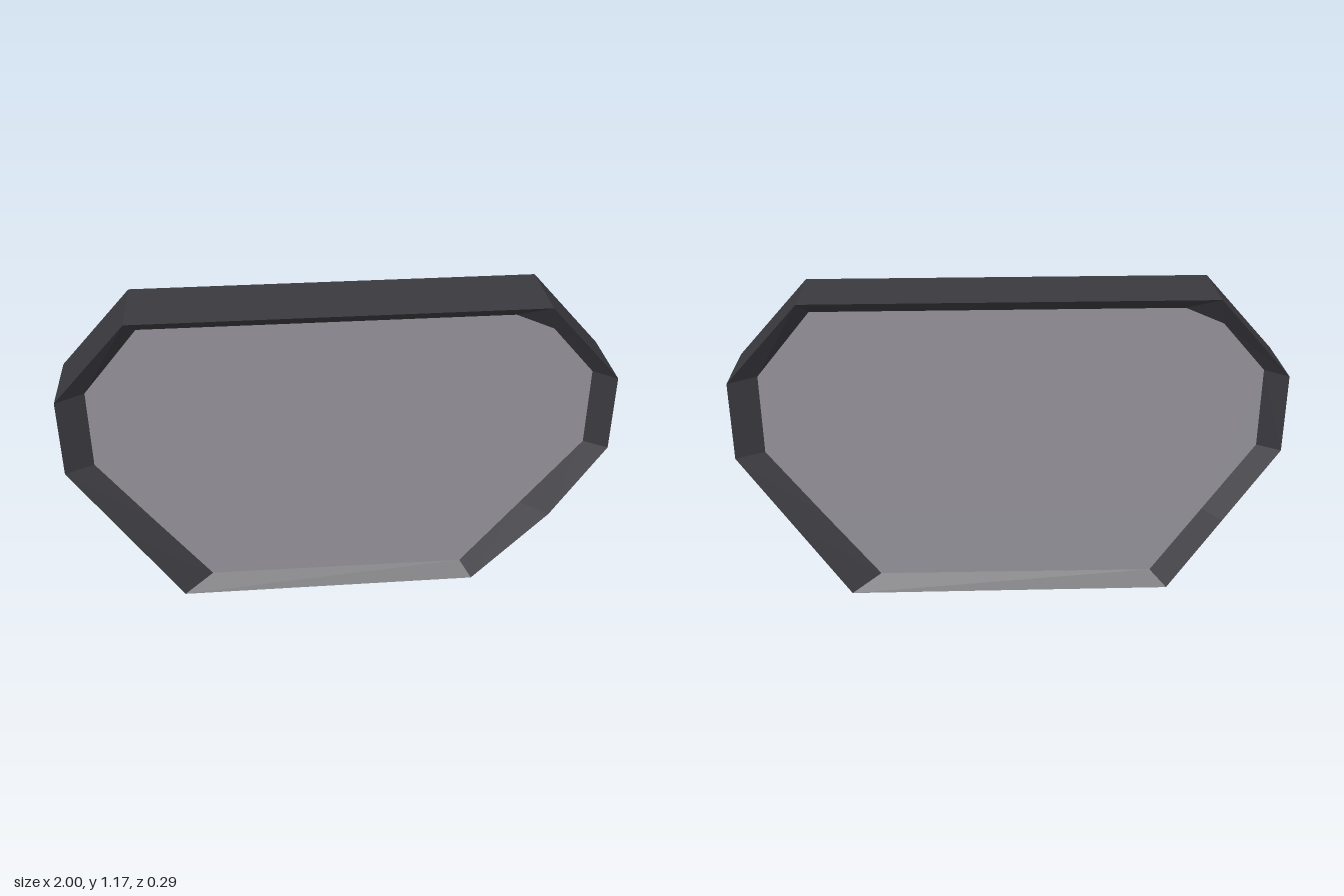
import * as THREE from 'three';

const RIM_Z = 0.143, GLASS_Z = 0.09;

// Outer outline, counter-clockwise from the lower +x corner; top corners are
// doubled so that the clipped pane corner can fan out from them.
const half = [[0.61, 0], [0.805, 0.295], [1, 0.59], [1, 0.885], [0.735, 1.175], [0.735, 1.175]];
const mirrored = (loop) => loop.map(([x, y]) => [-x, y]).reverse();
const rimBack = [...half, ...mirrored(half)];
// The lower +x corner is chipped on the front only
const rimFront = rimBack.map((p, i) => (i === 0 ? [0.52, 0] : p));

// Outline of a recessed pane, seen from its own side
const paneOutline = (cornerX) => [
  [cornerX, 0.05], [0.7 + (cornerX - 0.48) / 2, 0.32], [0.92, 0.59], [0.92, 0.89], [0.76, 1.07], [0.62, 1.13],
  [-0.7, 1.13], [-0.7, 1.13], [-0.9, 0.89], [-0.9, 0.59], [-0.7, 0.32], [-0.5, 0.055],
];
const paneFront = paneOutline(0.48);
const paneBack = paneOutline(0.55);

// Joins closed loops, listed from back to front, with flat facets
function skinLoops(loops) {
  const out = [];
  const same = (a, b) => a.every((v, k) => v === b[k]);
  const tri = (a, b, c) => {
    if (!same(a, b) && !same(b, c) && !same(a, c)) out.push(...a, ...b, ...c);
  };
  for (let k = 0; k + 1 < loops.length; k++) {
    const A = loops[k], B = loops[k + 1], n = A.length;
    for (let i = 0; i < n; i++) {
      const j = (i + 1) % n;
      tri(A[i], A[j], B[j]);
      tri(A[i], B[j], B[i]);
    }
  }
  const g = new THREE.BufferGeometry();
  g.setAttribute('position', new THREE.Float32BufferAttribute(out, 3));
  g.computeVertexNormals();
  return g;
}

export function createModel() {
  const group = new THREE.Group();
  group.name = 'framedWindow';

  const frameMaterial = new THREE.MeshStandardMaterial({ color: 0x3a393f });
  frameMaterial.name = 'dark frame';
  const glassMaterial = new THREE.MeshStandardMaterial({ color: 0x929097 });
  glassMaterial.name = 'grey glass';

  // Frame: outer walls with bevels leading in to the panes
  const at = (loop, z) => loop.map(([x, y]) => [x, y, z]);
  const frame = new THREE.Mesh(skinLoops([
    at(mirrored(paneBack), -GLASS_Z),
    at(rimBack, -RIM_Z),
    at(rimFront, RIM_Z),
    at(paneFront, GLASS_Z),
  ]), frameMaterial);
  frame.name = 'frame';
  group.add(frame);

  // Panes: one facing each way
  [[paneFront, 'frontPane', 0], [paneBack, 'backPane', Math.PI]].forEach(([outline, name, turn]) => {
    const points = outline
      .filter((p, i) => i !== 7)
      .map(([x, y]) => new THREE.Vector2(x, y));
    const geometry = new THREE.ShapeGeometry(new THREE.Shape(points));
    geometry.translate(0, 0, GLASS_Z);
    const pane = new THREE.Mesh(geometry, glassMaterial);
    pane.rotation.y = turn;
    pane.name = name;
    group.add(pane);
  });

  return group;
}
